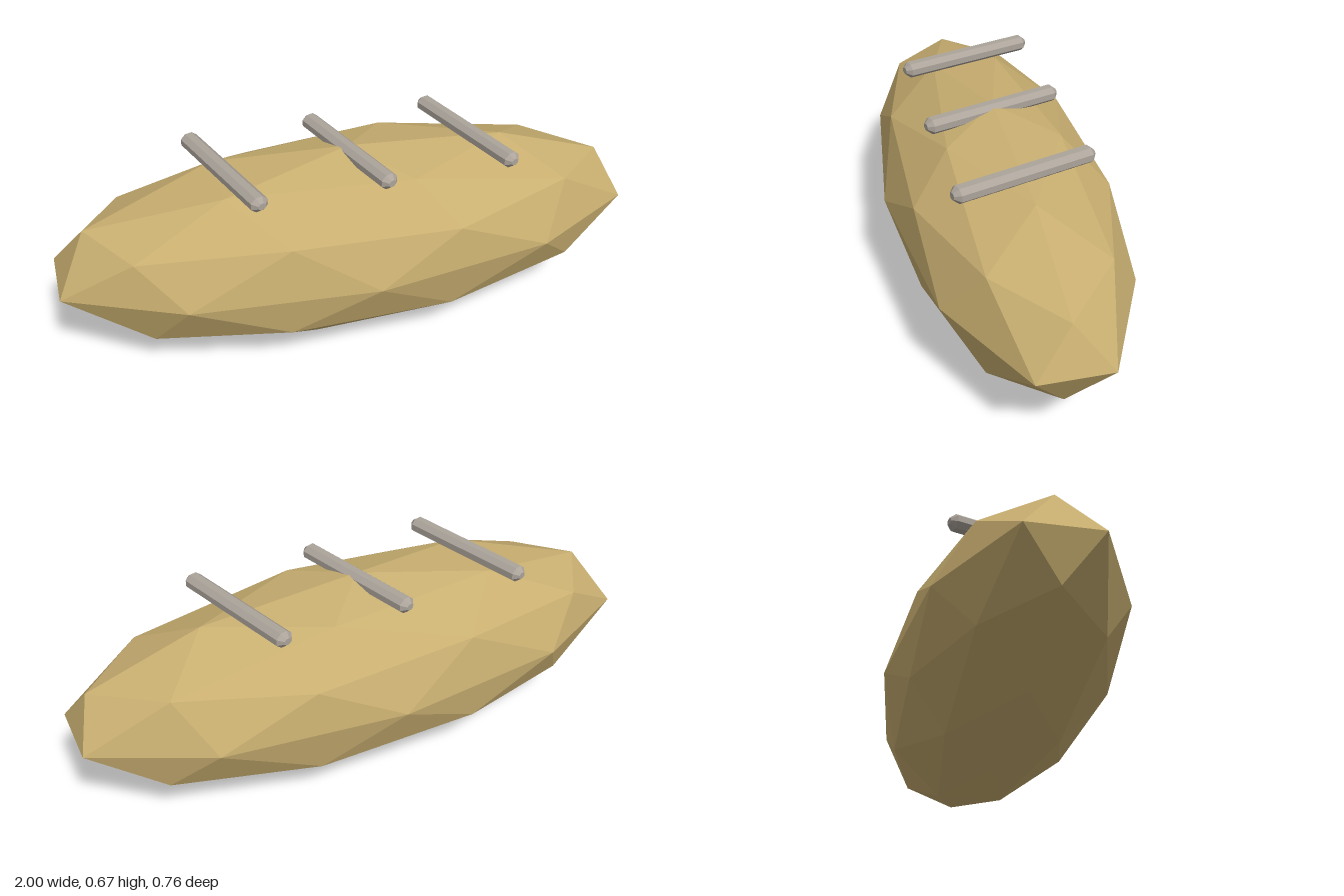
import * as THREE from 'three';

export function createModel() {
  const group = new THREE.Group();
  const crust = new THREE.MeshStandardMaterial({ color: 0xc8ae70, flatShading: true });
  crust.name = 'golden tan';
  const grey = new THREE.MeshStandardMaterial({ color: 0xaca49b, flatShading: true });
  grey.name = 'warm grey';

  // Body: icosphere turned so a five-sided corner points up, then stretched along x
  const bodyGeo = new THREE.IcosahedronGeometry(1, 1);
  bodyGeo.rotateZ(-Math.atan(2 / (1 + Math.sqrt(5))));
  bodyGeo.scale(1.0515, 0.329, 0.38);
  bodyGeo.translate(0, 0.329, 0);
  bodyGeo.computeVertexNormals();
  const body = new THREE.Mesh(bodyGeo, crust);
  body.name = 'body';
  group.add(body);

  // Bars: eight-sided rods with chamfered ends, lying slantwise across the top
  const profile = [
    [0, -0.25], [0.013, -0.25], [0.03, -0.232],
    [0.03, 0.232], [0.013, 0.25], [0, 0.25],
  ].map(([r, y]) => new THREE.Vector2(r / Math.cos(Math.PI / 8), y));
  const barGeo = new THREE.LatheGeometry(profile, 8, Math.PI / 8);
  barGeo.rotateX(Math.PI / 2);
  barGeo.scale(1, 0.026 / 0.03, 1);
  ['rightBar', 'middleBar', 'leftBar'].forEach((name, i) => {
    const bar = new THREE.Mesh(barGeo, grey);
    bar.name = name;
    bar.position.set((i - 1) * 0.425, 0.641, 0);
    bar.rotation.y = 0.3;
    group.add(bar);
  });

  return group;
}
